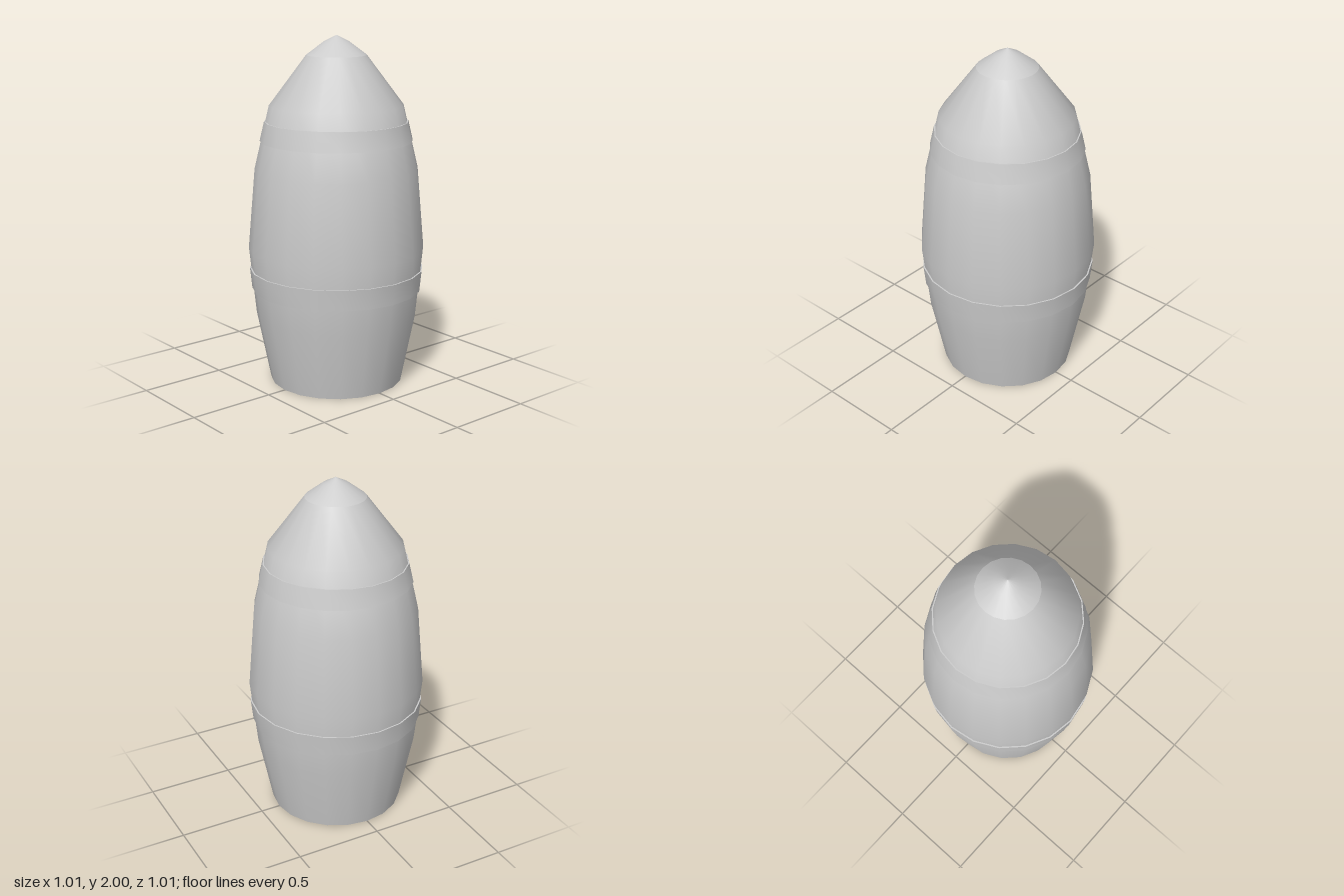
import * as THREE from 'three';
import { toCreasedNormals } from 'three/addons/utils/BufferGeometryUtils.js';

const SIDES = 20;
const material = new THREE.MeshStandardMaterial({ color: 0xcccccc });

// Revolve a [radius, height] profile, listed from bottom to top on the outside
function turned(name, profile, crease) {
  const points = profile.map(([r, y]) => new THREE.Vector2(r, y));
  let geometry = new THREE.LatheGeometry(points, SIDES);
  if (crease) geometry = toCreasedNormals(geometry, crease);
  const mesh = new THREE.Mesh(geometry, material);
  mesh.name = name;
  return mesh;
}

export function createModel() {
  const model = new THREE.Group();
  model.name = 'shell';

  // Bulging casing up to the shoulder and cone
  model.add(turned('casing', [
    [0.385, 0], [0.465, 0.4], [0.505, 0.79], [0.465, 1.25], [0.38, 1.61], [0.17, 1.89],
  ]));

  // Rounded tip
  model.add(turned('tip', [[0.17, 1.89], [0.07, 1.965], [0, 2]]));

  // Flat base
  const base = new THREE.Mesh(new THREE.CircleGeometry(0.385, SIDES), material);
  base.rotation.x = Math.PI / 2;
  base.name = 'base';
  model.add(base);

  // Thin raised bands: bottom radius, bottom height, top radius, top height
  const bands = { lowerBand: [0.489, 0.55, 0.501, 0.67], upperBand: [0.434, 1.41, 0.408, 1.52] };
  for (const [name, [r0, y0, r1, y1]] of Object.entries(bands)) {
    model.add(turned(name, [[r0 - 0.02, y0], [r0, y0], [r1, y1], [r1 - 0.02, y1]], 0.6));
  }

  return model;
}
